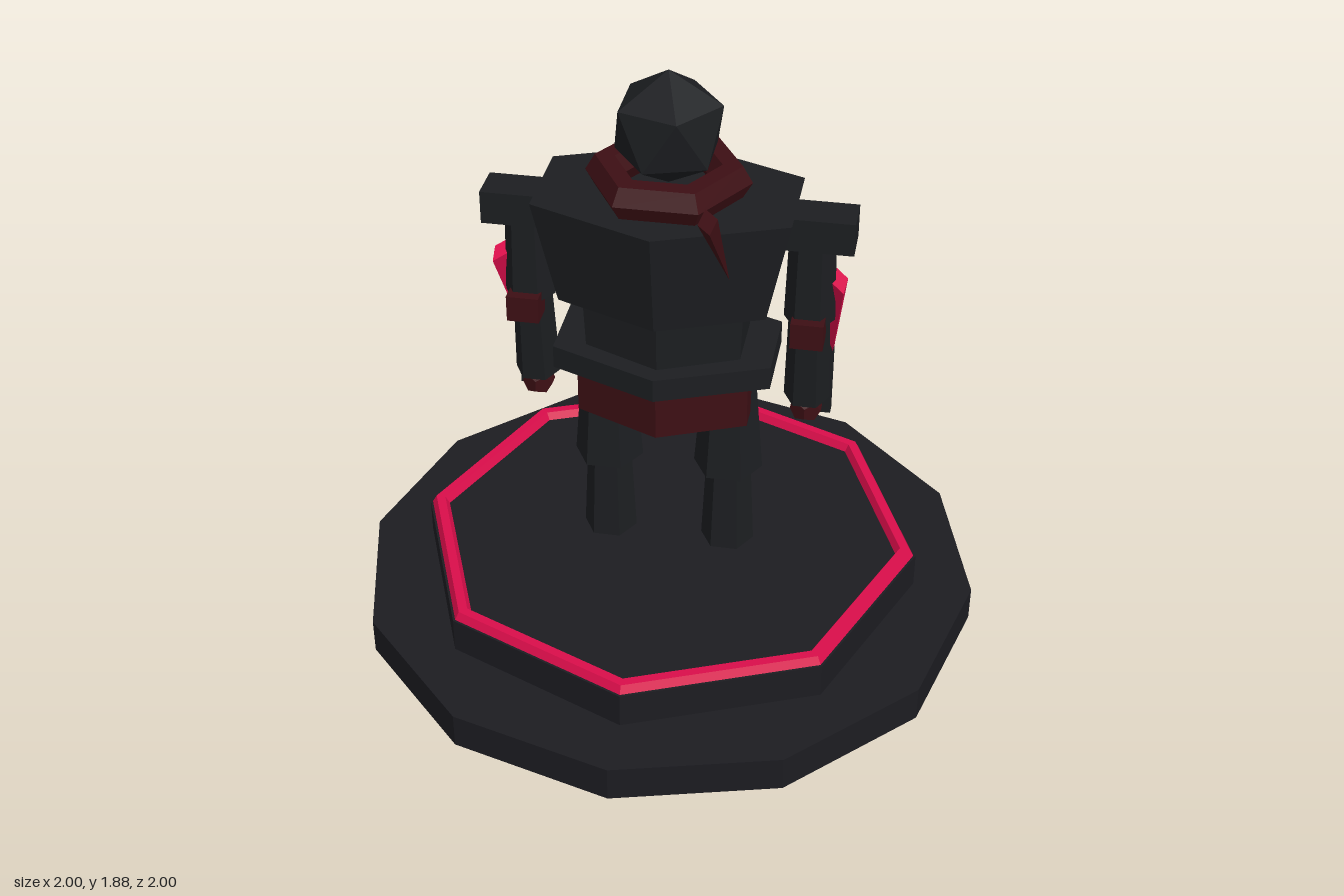
import * as THREE from 'three';

const mat = (color) => new THREE.MeshStandardMaterial({ color, flatShading: true });
const plinthMat = mat(0x1c1c21);
const armour = mat(0x1c1e21);
const maroon = mat(0x3d0f14);
const crimson = mat(0xd90d4a);

export function createModel() {
  const model = new THREE.Group();

  const add = (name, geometry, material, x, y, z) => {
    const mesh = new THREE.Mesh(geometry, material);
    mesh.name = name;
    mesh.position.set(x, y, z);
    model.add(mesh);
    return mesh;
  };
  const box = (w, h, d) => new THREE.BoxGeometry(w, h, d);

  // Six-sided slab of the body, given its half widths at the top and bottom
  const bodyPart = (name, material, y0, y1, topX, bottomX, depthRatio) => {
    const k = Math.cos(Math.PI / 6);
    const g = new THREE.CylinderGeometry(topX / k, bottomX / k, y1 - y0, 6);
    g.scale(1, 1, depthRatio * k);
    return add(name, g, material, 0, (y0 + y1) / 2, 0);
  };

  // Six-sided limb with a flat face to the front
  const limb = (name, top, bottom, y0, y1, x, z) => {
    const g = new THREE.CylinderGeometry(top, bottom, y1 - y0, 6).rotateY(Math.PI / 6);
    return add(name, g, armour, x, (y0 + y1) / 2, z);
  };

  // Flattened four-sided spike running from its base to its tip
  const spike = (name, material, base, tip, halfX, halfZ) => {
    const a = new THREE.Vector3(...base);
    const b = new THREE.Vector3(...tip);
    const dir = b.clone().sub(a);
    const g = new THREE.ConeGeometry(1, dir.length(), 4).scale(halfX, 1, halfZ);
    const mid = a.add(b).multiplyScalar(0.5);
    const mesh = add(name, g, material, mid.x, mid.y, mid.z);
    mesh.quaternion.setFromUnitVectors(new THREE.Vector3(0, 1, 0), dir.normalize());
    return mesh;
  };

  // Stepped plinth with a glowing ring
  add('plinthBase', new THREE.CylinderGeometry(1, 1, 0.115, 12), plinthMat, 0, 0.0575, 0);
  add('plinthStep', new THREE.CylinderGeometry(0.812, 0.812, 0.115, 8), plinthMat, 0, 0.1725, 0);
  add('plinthRing', new THREE.TorusGeometry(0.775, 0.03, 6, 8).rotateX(-Math.PI / 2), crimson, 0, 0.229, 0);

  // Torso
  bodyPart('skirt', maroon, 0.755, 0.915, 0.265, 0.265, 0.85);
  bodyPart('belt', armour, 0.915, 0.99, 0.335, 0.335, 0.79);
  bodyPart('waist', armour, 0.99, 1.155, 0.245, 0.238, 0.86);
  bodyPart('chest', armour, 1.155, 1.49, 0.385, 0.315, 0.79);
  add('buckle', box(0.09, 0.085, 0.09), crimson, 0, 0.952, -0.26);
  add('chestGem', new THREE.DodecahedronGeometry(0.046), crimson, 0, 1.365, -0.268);

  // Scarf, with its loose end hanging on the +z side
  add('scarf', new THREE.TorusGeometry(0.19, 0.06, 6, 6).rotateX(-Math.PI / 2), maroon, 0, 1.54, 0);
  spike('scarfTail', maroon, [0.16, 1.55, 0.27], [0.215, 1.325, 0.2], 0.055, 0.03);

  // Head, standing on one point of the icosahedron
  const head = new THREE.IcosahedronGeometry(0.18).rotateZ(-Math.atan(2 / (1 + Math.sqrt(5))));
  add('head', head, armour, 0, 1.7, 0);

  for (const s of [-1, 1]) {
    add('eye', box(0.05, 0.02, 0.03), crimson, s * 0.06, 1.71, -0.162);
    spike('chestSpike', maroon, [s * 0.15, 1.22, -0.21], [s * 0.15, 1.4, -0.235], 0.035, 0.035);

    // Legs
    limb('shin', 0.072, 0.086, 0.23, 0.52, s * 0.194, -0.005);
    limb('thigh', 0.083, 0.11, 0.525, 0.86, s * 0.193, 0);
    const knee = add('kneePad', box(0.12, 0.11, 0.095), maroon, s * 0.197, 0.507, -0.085);
    knee.rotation.x = 0.78;

    // Arms
    add('shoulderPad', box(0.22, 0.105, 0.125), armour, s * 0.45, 1.413, 0);
    limb('upperArm', 0.07, 0.078, 1.1, 1.38, s * 0.432, 0);
    add('elbowPad', box(0.1, 0.085, 0.085), maroon, s * 0.435, 1.088, 0.057);
    limb('forearm', 0.062, 0.072, 0.785, 1.12, s * 0.43, -0.03).rotation.x = 0.1;
    add('hand', new THREE.DodecahedronGeometry(0.052), maroon, s * 0.43, 0.742, -0.045);

    // Blade along the outer arm and its grip
    spike('blade', crimson, [s * 0.515, 1.24, 0], [s * 0.485, 0.79, -0.16], 0.028, 0.055);
    add('bladeGrip', box(0.045, 0.28, 0.035), armour, s * 0.48, 0.83, -0.113);
  }

  return model;
}
